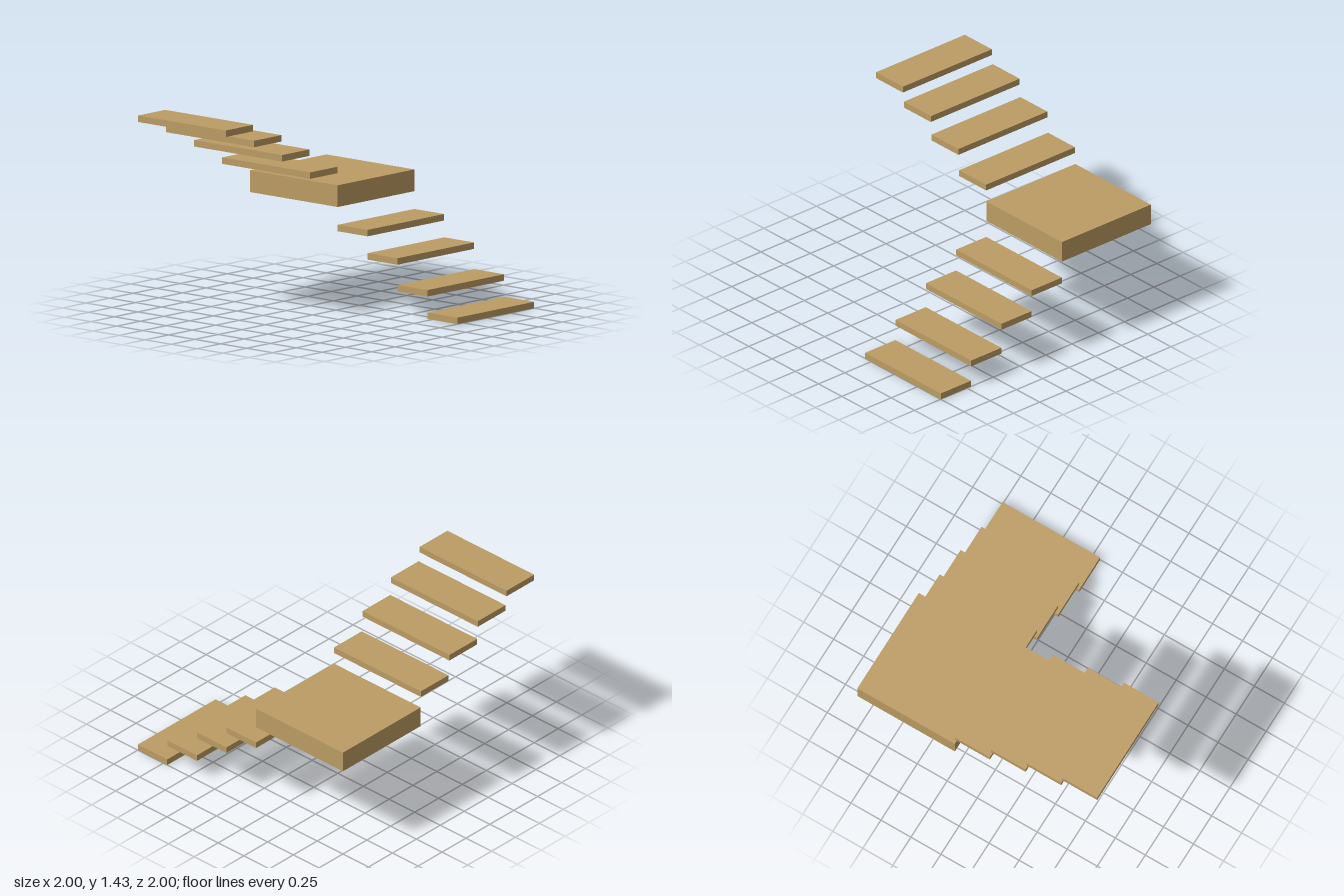
import * as THREE from 'three';

export function createModel() {
  const group = new THREE.Group();
  group.name = 'floatingStaircase';
  const wood = new THREE.MeshStandardMaterial({ color: 0xbc9c64 });
  wood.name = 'tan wood';

  // Adds a slab from its minimum and maximum corners
  function slab(name, [x0, y0, z0], [x1, y1, z1]) {
    const mesh = new THREE.Mesh(new THREE.BoxGeometry(x1 - x0, y1 - y0, z1 - z0), wood);
    mesh.name = name;
    mesh.position.set((x0 + x1) / 2, (y0 + y1) / 2, (z0 + z1) / 2);
    group.add(mesh);
  }

  const thick = 0.047, depth = 0.287;
  const innerX = 0.187, innerZ = -0.153; // inner edges of the corner landing

  // Lower flight, climbing towards the back: [bottom height, front edge]
  [[0, 1], [0.163, 0.71], [0.357, 0.422], [0.526, 0.134]].forEach(([y, z], i) =>
    slab(`lowerTread${i + 1}`, [innerX, y, z - depth], [1, y + thick, z]));

  // Thick corner landing
  slab('landing', [innerX, 0.702, -1], [1, 0.86, innerZ]);

  // Upper flight, climbing towards -x: [bottom height, outer edge]
  [[0.948, -0.105], [1.116, -0.403], [1.262, -0.7], [1.379, -1]].forEach(([y, x], i) =>
    slab(`upperTread${i + 1}`, [x, y, -1], [x + 0.29, y + thick, innerZ]));

  return group;
}
